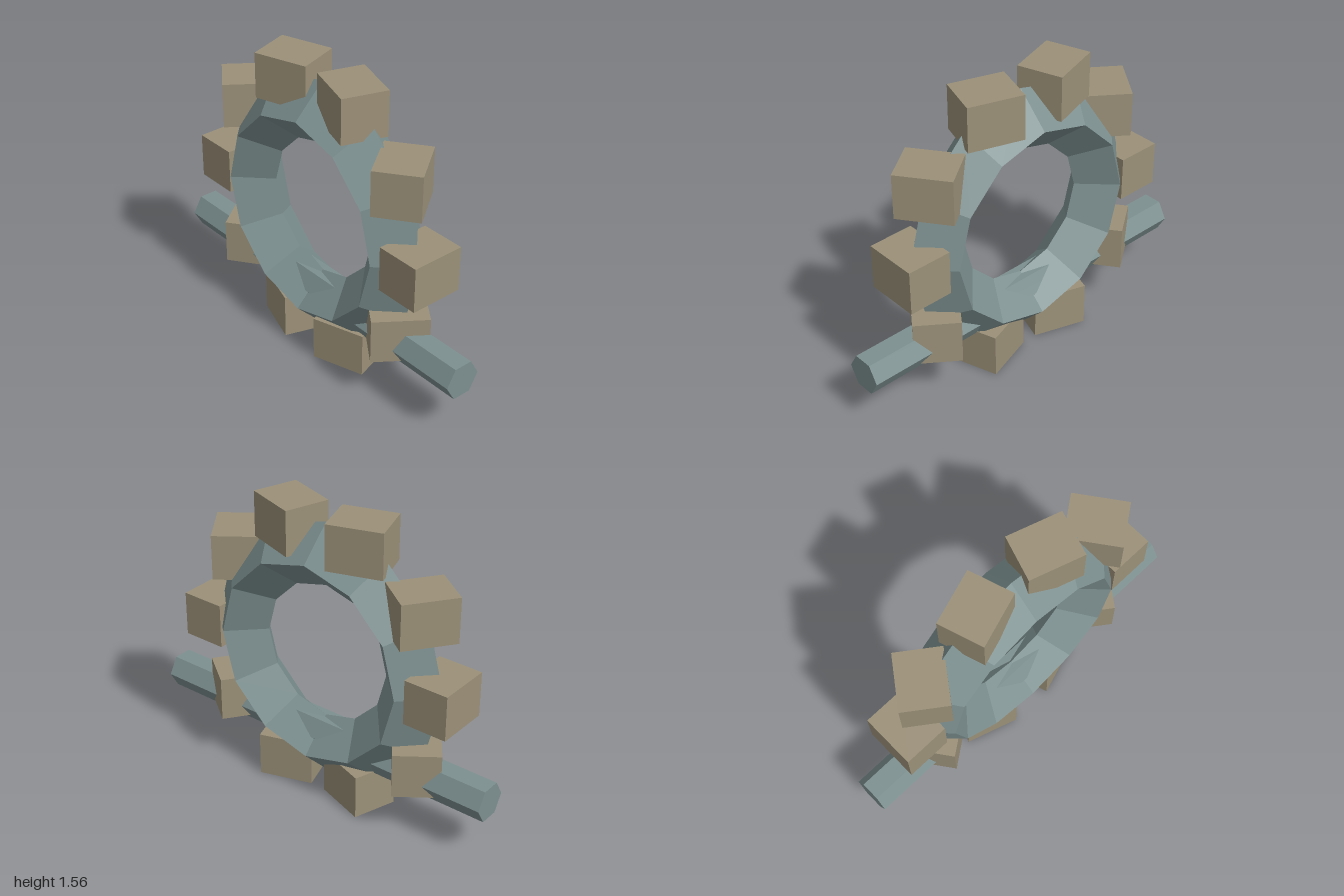
import * as THREE from 'three';

export function createModel() {
  const model = new THREE.Group();
  const metal = new THREE.MeshStandardMaterial({ name: 'blue grey metal', color: 0x7d9090, flatShading: true });
  const stone = new THREE.MeshStandardMaterial({ name: 'tan block', color: 0x9c9179, flatShading: true });

  const add = (name, geometry, material, parent) => {
    const mesh = new THREE.Mesh(geometry, material);
    mesh.name = name;
    parent.add(mesh);
    return mesh;
  };

  // Toothed wheel
  const wheel = new THREE.Group();
  wheel.name = 'wheel';
  wheel.position.set(-0.009, 0.78, 0);
  model.add(wheel);

  // Faceted ring with a diamond cross-section
  add('ring', new THREE.TorusGeometry(0.537, 0.167, 4, 12), metal, wheel);

  // Ten blocks around the rim, each turned about its upright axis by its place
  const toothCount = 10;
  const toothRadius = 0.695;
  const toothGeometry = new THREE.BoxGeometry(0.238, 0.238, 0.286);
  for (let i = 0; i < toothCount; i++) {
    const a = (i / toothCount) * Math.PI * 2;
    const tooth = add('tooth', toothGeometry, stone, wheel);
    tooth.position.set(Math.cos(a) * toothRadius, Math.sin(a) * toothRadius, 0);
    tooth.rotation.y = a;
  }

  // Hexagonal bar lying across the lower ring, flat side up
  const barGeometry = new THREE.CylinderGeometry(0.1, 0.1, 2, 6);
  barGeometry.rotateZ(Math.PI / 2);
  add('crossBar', barGeometry, metal, model).position.y = 0.315;

  return model;
}
